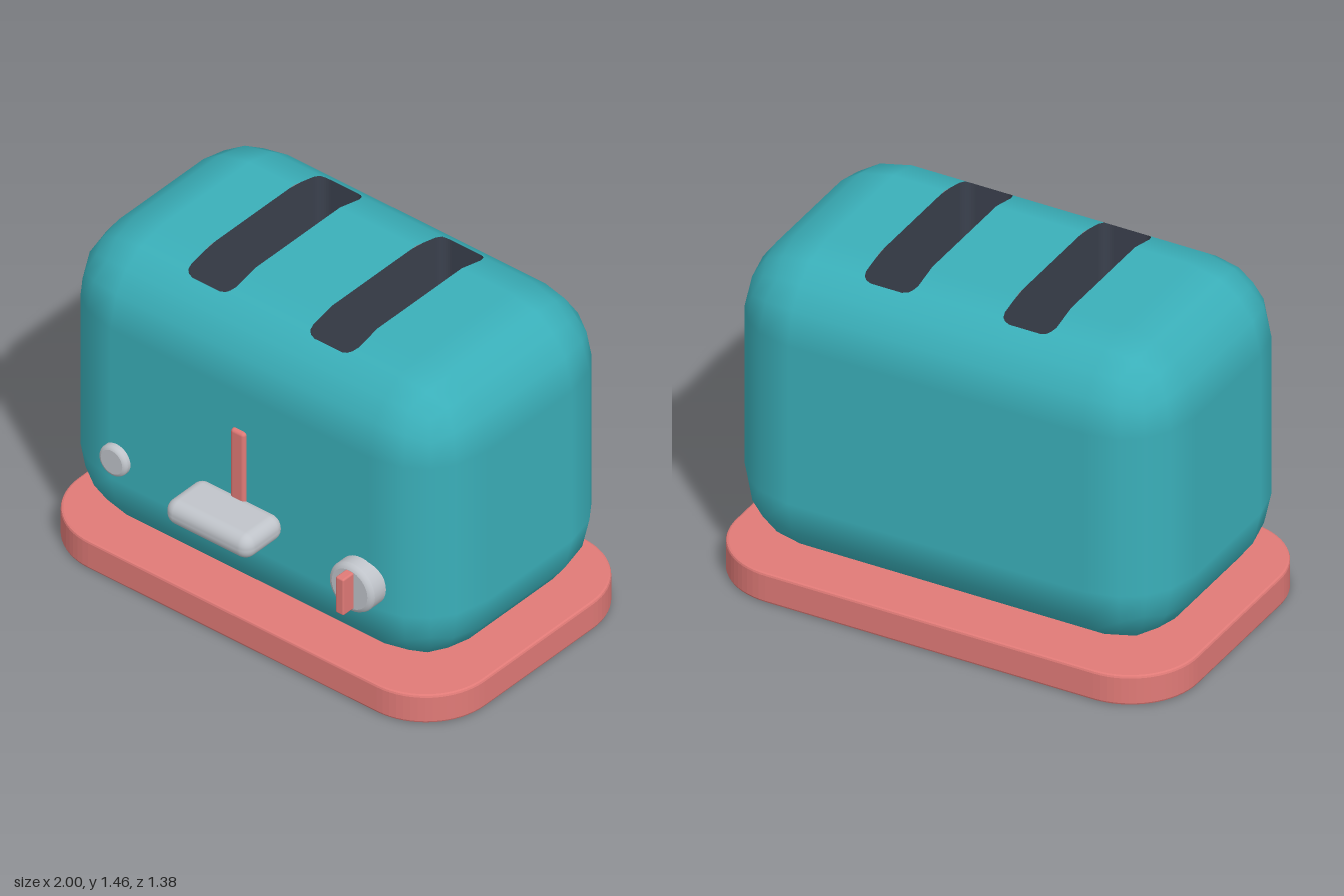
import * as THREE from 'three';
import { RoundedBoxGeometry } from 'three/addons/geometries/RoundedBoxGeometry.js';

const mat = (name, color, side = THREE.FrontSide) => {
  const m = new THREE.MeshStandardMaterial({ color, side });
  m.name = name;
  return m;
};

// Body: width, bottom, top, half depth, corner radius, and z centre of body and base
const HALF_W = 0.955, BOTTOM = 0.12, TOP = 1.46, HALF_D = 0.5675, R = 0.32, ZC = -0.083;
const MID_Y = (BOTTOM + TOP) / 2, HALF_H = (TOP - BOTTOM) / 2;
const FLAT_X = HALF_W - R, FLAT_Z = HALF_D - R, FLAT_Y = HALF_H - R;
// Slots
const SLOT_X = 0.3, SLOT_W = 0.112, SLOT_L = 0.405, SLOT_R = 0.045, SLOT_FLOOR = 1.0;

// Front half of the body's side section as [z, y], from bottom centre to top centre
const ANGLES = [0, Math.atan(0.5), Math.PI / 4, Math.atan(2), Math.PI / 2];
const upper = ANGLES.map(a => [FLAT_Z + R * Math.cos(a), MID_Y + FLAT_Y + R * Math.sin(a)]);
upper.push([0, TOP]);
const lower = upper.map(([z, y]) => [z, 2 * MID_Y - y]).reverse();
const section = [...lower, ...upper];

// Height of the body's top at a distance z from its middle
function topHeight(z) {
  for (let i = 0; i < upper.length - 1; i++) {
    const [z0, y0] = upper[i], [z1, y1] = upper[i + 1];
    if (z <= z0 && z >= z1) return y0 + (y1 - y0) * (z0 - z) / (z0 - z1);
  }
  return TOP;
}

// Section cut open at the top, up to a distance clip from the middle
const openSection = clip => section.map(([z, y], i) =>
  i >= lower.length && z < clip ? [clip, topHeight(clip)] : [z, y]);

// Half length of a slot at a distance dx from its centre line, with rounded corners
function slotEnd(dx) {
  const d = Math.min(SLOT_R, Math.max(0, Math.abs(dx) - (SLOT_W - SLOT_R)));
  return SLOT_L - SLOT_R + Math.sqrt(SLOT_R * SLOT_R - d * d);
}

function bodyGeometry() {
  const pos = [];
  // Rounded ends
  const box = new RoundedBoxGeometry(2 * HALF_W, 2 * HALF_H, 2 * HALF_D, 2, R);
  const src = box.index ? box.toNonIndexed() : box;
  const p = src.attributes.position;
  for (let i = 0; i < p.count; i += 3) {
    const xs = [p.getX(i), p.getX(i + 1), p.getX(i + 2)];
    if (Math.min(...xs) < 0 && Math.max(...xs) > 0) continue;
    for (let k = i; k < i + 3; k++) pos.push(p.getX(k), p.getY(k) + MID_Y, p.getZ(k));
  }
  // Strips across the middle
  const strip = (x0, x1, c0, c1) => {
    const s0 = openSection(c0), s1 = openSection(c1);
    for (let i = 0; i < s0.length - 1; i++) {
      for (const side of [1, -1]) {
        const v = (x, q) => [x, q[1], q[0] * side];
        const a = v(x0, s0[i]), b = v(x1, s1[i]), c = v(x1, s1[i + 1]), d = v(x0, s0[i + 1]);
        const order = side > 0 ? [a, b, c, a, c, d] : [a, c, b, a, d, c];
        pos.push(...order.flat());
      }
    }
  };
  const inner = SLOT_X - SLOT_W, outer = SLOT_X + SLOT_W;
  strip(-FLAT_X, -outer, 0, 0);
  strip(-inner, inner, 0, 0);
  strip(outer, FLAT_X, 0, 0);
  const steps = [-1, -0.93, -0.8, -0.6, 0.6, 0.8, 0.93, 1].map(t => t * SLOT_W);
  for (const sx of [-SLOT_X, SLOT_X])
    for (let i = 0; i < steps.length - 1; i++)
      strip(sx + steps[i], sx + steps[i + 1], slotEnd(steps[i]), slotEnd(steps[i + 1]));

  // Smooth normals point away from the inner core box
  const nor = [], n = new THREE.Vector3();
  const clamp = THREE.MathUtils.clamp;
  for (let i = 0; i < pos.length; i += 3) {
    const y = pos[i + 1] - MID_Y;
    n.set(pos[i] - clamp(pos[i], -FLAT_X, FLAT_X), y - clamp(y, -FLAT_Y, FLAT_Y),
      pos[i + 2] - clamp(pos[i + 2], -FLAT_Z, FLAT_Z)).normalize();
    nor.push(n.x, n.y, n.z);
  }
  const g = new THREE.BufferGeometry();
  g.setAttribute('position', new THREE.Float32BufferAttribute(pos, 3));
  g.setAttribute('normal', new THREE.Float32BufferAttribute(nor, 3));
  return g;
}

// Rounded rectangle centred on the origin
function roundedRect(hw, hh, r) {
  const s = new THREE.Shape();
  s.absarc(hw - r, hh - r, r, 0, Math.PI / 2);
  s.absarc(-hw + r, hh - r, r, Math.PI / 2, Math.PI);
  s.absarc(-hw + r, -hh + r, r, Math.PI, Math.PI * 1.5);
  s.absarc(hw - r, -hh + r, r, Math.PI * 1.5, Math.PI * 2);
  s.closePath();
  return s;
}

// Dark walls following the body's top edge, closed by a floor
function slotWallGeometry() {
  const pts = roundedRect(SLOT_W, SLOT_L, SLOT_R).getPoints(4);
  const pos = [];
  pts.forEach((a, i) => {
    const b = pts[(i + 1) % pts.length];
    const n = 10; // long walls are split so that their rim follows the curve
    for (let k = 0; k < n; k++) {
      const u = a.clone().lerp(b, k / n), v = a.clone().lerp(b, (k + 1) / n);
      const U = [u.x, topHeight(Math.abs(u.y)), u.y], V = [v.x, topHeight(Math.abs(v.y)), v.y];
      const u0 = [u.x, SLOT_FLOOR, u.y], v0 = [v.x, SLOT_FLOOR, v.y];
      pos.push(...u0, ...v0, ...V, ...u0, ...V, ...U);
    }
  });
  const g = new THREE.BufferGeometry();
  g.setAttribute('position', new THREE.Float32BufferAttribute(pos, 3));
  g.computeVertexNormals();
  return g;
}

// Round button facing the front, with a bevelled rim
function discGeometry(r, depth, bevel) {
  const profile = [[r, 0], [r, depth - bevel], [r, depth - bevel], [r - bevel * 0.3, depth - bevel * 0.3],
    [r - bevel, depth], [r - bevel, depth], [0, depth]].map(q => new THREE.Vector2(...q));
  return new THREE.LatheGeometry(profile, 32).rotateX(Math.PI / 2);
}

export function createModel() {
  const group = new THREE.Group();
  const teal = mat('teal enamel', 0x3aafb9);
  const coral = mat('coral plastic', 0xe07a77);
  const grey = mat('light grey metal', 0xc0c4ca);
  const dark = mat('dark slot', 0x3a404d, THREE.DoubleSide);

  const add = (name, geometry, material, x = 0, y = 0, z = 0) => {
    const mesh = new THREE.Mesh(geometry, material);
    mesh.name = name;
    mesh.position.set(x, y, z);
    group.add(mesh);
  };

  // Base plate
  const bevel = 0.01;
  const base = new THREE.ExtrudeGeometry(roundedRect(1 - bevel, 0.61 - bevel, 0.28), {
    depth: 0.13 - 2 * bevel, bevelEnabled: true, bevelSize: bevel, bevelThickness: bevel,
    bevelSegments: 2, curveSegments: 8,
  }).rotateX(-Math.PI / 2);
  add('base', base, coral, 0, bevel, ZC);

  // Body and bread slots
  add('body', bodyGeometry(), teal, 0, 0, ZC);
  const floor = new THREE.ShapeGeometry(roundedRect(SLOT_W, SLOT_L, SLOT_R), 4).rotateX(-Math.PI / 2);
  const walls = slotWallGeometry();
  for (const [side, x] of [['right', -SLOT_X], ['left', SLOT_X]]) {
    add(side + 'SlotWalls', walls, dark, x, 0, ZC);
    add(side + 'SlotFloor', floor, dark, x, SLOT_FLOOR, ZC);
  }

  // Lever and its track
  add('leverTrack', new RoundedBoxGeometry(0.07, 0.57, 0.06, 2, 0.015), coral, 0, 0.685, 0.472);
  add('lever', new RoundedBoxGeometry(0.42, 0.11, 0.23, 4, 0.05), grey, 0, 0.6, 0.575);

  // Timer knob with its grip, and the round button
  add('knob', discGeometry(0.108, 0.085, 0.02), grey, 0.6, 0.545, 0.47);
  add('knobGrip', new RoundedBoxGeometry(0.04, 0.17, 0.09, 2, 0.008), coral, 0.6, 0.545, 0.57);
  add('button', discGeometry(0.068, 0.065, 0.015), grey, -0.605, 0.545, 0.45);

  return group;
}
